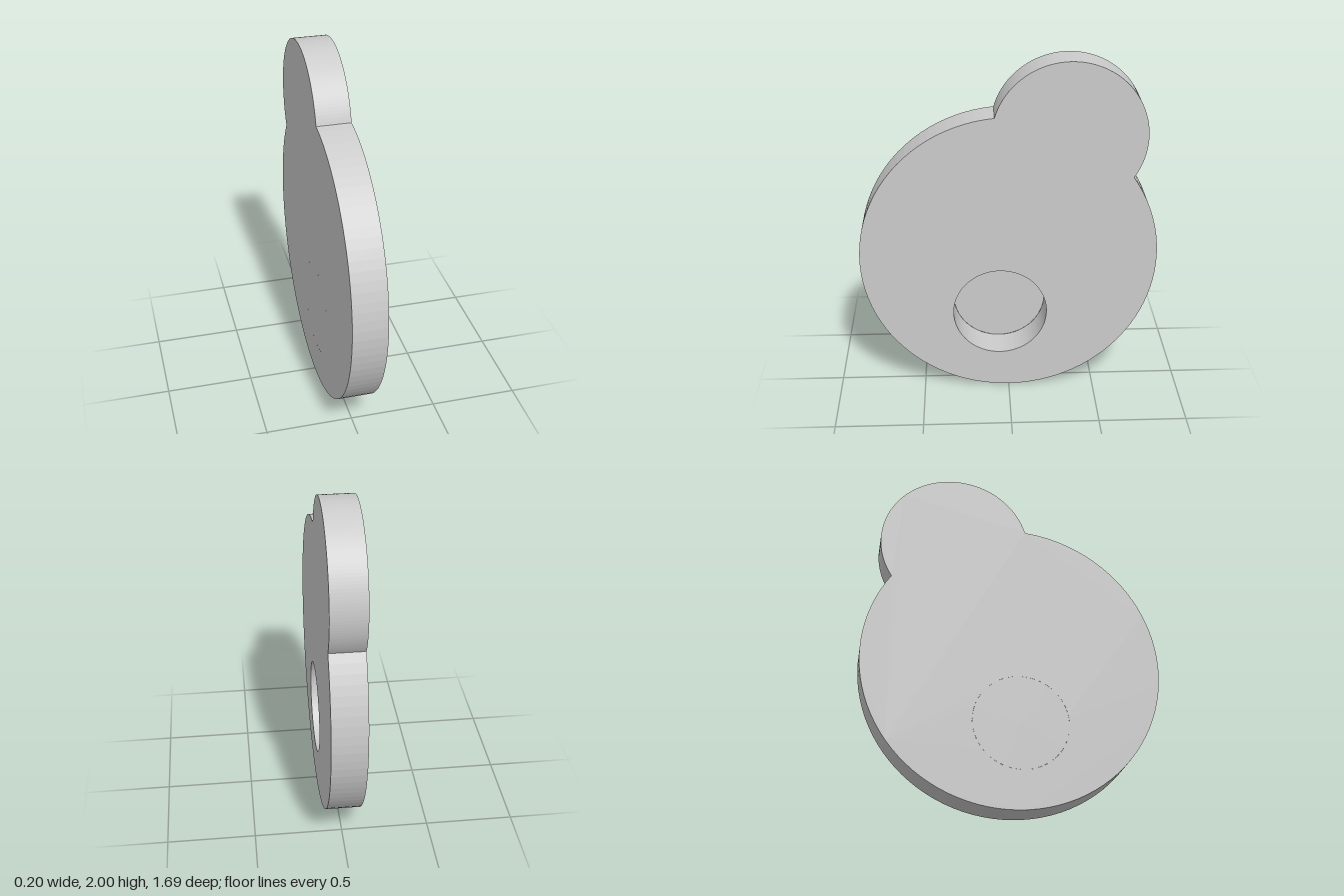
import * as THREE from 'three';

const HALF = 0.098;   // half thickness of the plate
const SEGMENTS = 40;  // divisions per arc

// Profiles are drawn with u = -z and v = y, then extruded along x.
const BODY = { u: 0, v: 0.847, r: 0.847 };
const LOBE = { u: 0.335, v: 1.57, r: 0.43 };
const POCKET = { u: -0.05, v: 0.495, r: 0.27 };

// Points where the two outline circles meet
function intersections(a, b) {
  const du = b.u - a.u, dv = b.v - a.v, d = Math.hypot(du, dv);
  const along = (a.r * a.r - b.r * b.r + d * d) / (2 * d);
  const side = Math.sqrt(a.r * a.r - along * along);
  return [1, -1].map((s) => new THREE.Vector2(
    a.u + (du * along - s * dv * side) / d,
    a.v + (dv * along + s * du * side) / d));
}

const angleOn = (c, p) => Math.atan2(p.y - c.v, p.x - c.u);

export function createModel() {
  const group = new THREE.Group();
  const material = new THREE.MeshStandardMaterial({ color: 0xcccccc, flatShading: true });

  // Outline: large disc joined with the smaller lobe, with a round pocket
  const [start, end] = intersections(BODY, LOBE);
  const outline = new THREE.Shape();
  outline.absarc(BODY.u, BODY.v, BODY.r, angleOn(BODY, start), angleOn(BODY, end), false);
  outline.absarc(LOBE.u, LOBE.v, LOBE.r, angleOn(LOBE, end), angleOn(LOBE, start), false);
  const hole = new THREE.Path();
  hole.absarc(POCKET.u, POCKET.v, POCKET.r, 0, Math.PI * 2, true);
  outline.holes.push(hole);

  const plateGeometry = new THREE.ExtrudeGeometry(outline, {
    depth: HALF * 2, bevelEnabled: false, curveSegments: SEGMENTS,
  });
  plateGeometry.translate(0, 0, -HALF).rotateY(Math.PI / 2);
  const plate = new THREE.Mesh(plateGeometry, material);
  plate.name = 'plate';
  group.add(plate);

  // Thin floor closing the pocket, flush with the plain side
  const floorGeometry = new THREE.CircleGeometry(POCKET.r, SEGMENTS);
  floorGeometry.translate(POCKET.u, POCKET.v, -HALF).rotateY(Math.PI / 2);
  const floorMaterial = material.clone();
  floorMaterial.side = THREE.DoubleSide;
  const floor = new THREE.Mesh(floorGeometry, floorMaterial);
  floor.name = 'pocketFloor';
  group.add(floor);

  return group;
}
